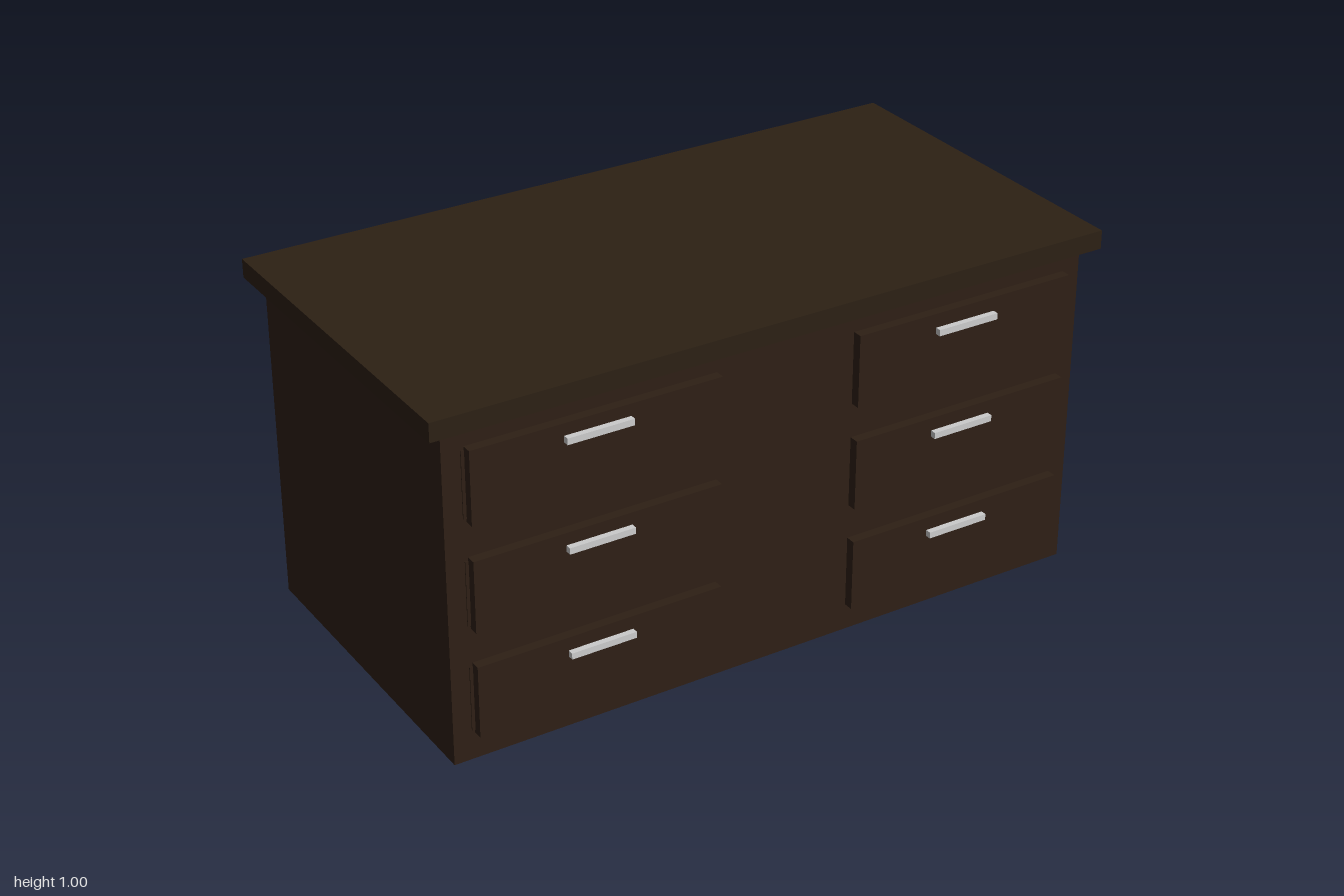
import * as THREE from 'three';

const wood = new THREE.MeshStandardMaterial({ color: 0x2e1f15 });
const topWood = new THREE.MeshStandardMaterial({ color: 0x2c2014 });
const metal = new THREE.MeshStandardMaterial({ color: 0xcccccc });

// Box given by its extents on each axis
function box(name, [x0, x1], [y0, y1], [z0, z1], material) {
  const mesh = new THREE.Mesh(new THREE.BoxGeometry(x1 - x0, y1 - y0, z1 - z0), material);
  mesh.position.set((x0 + x1) / 2, (y0 + y1) / 2, (z0 + z1) / 2);
  mesh.name = name;
  return mesh;
}

// Drawer: thin backing plate, front slab and bar handle
function drawer(name, plateX, slabX, y, handleX, handleY) {
  const group = new THREE.Group();
  group.name = name;
  group.add(
    box('drawerBacking', plateX, [y[0] + 0.01, y[1] - 0.01], [0.475, 0.484], wood),
    box('drawerFront', slabX, y, [0.478, 0.509], wood),
    box('handle', handleX, [handleY - 0.009, handleY + 0.009], [0.505, 0.526], metal)
  );
  return group;
}

export function createModel() {
  const model = new THREE.Group();
  model.name = 'drawerCabinet';

  // Carcass and overhanging top
  model.add(
    box('cabinetBody', [-0.956, 0.956], [0, 0.951], [-0.491, 0.481], wood),
    box('cabinetTop', [-1, 1], [0.95, 1.003], [-0.526, 0.515], topWood)
  );

  // Three drawers in each of the two columns
  const rows = [
    { y: [0.077, 0.285], right: 0.238, left: 0.238 },
    { y: [0.385, 0.589], right: 0.545, left: 0.543 },
    { y: [0.688, 0.895], right: 0.852, left: 0.846 },
  ];
  rows.forEach((row, i) => {
    model.add(
      drawer(`rightDrawer${i + 1}`, [-0.904, -0.183], [-0.895, -0.185], row.y, [-0.638, -0.449], row.right),
      drawer(`leftDrawer${i + 1}`, [0.235, 0.9], [0.229, 0.903], row.y, [0.469, 0.655], row.left)
    );
  });
  return model;
}
